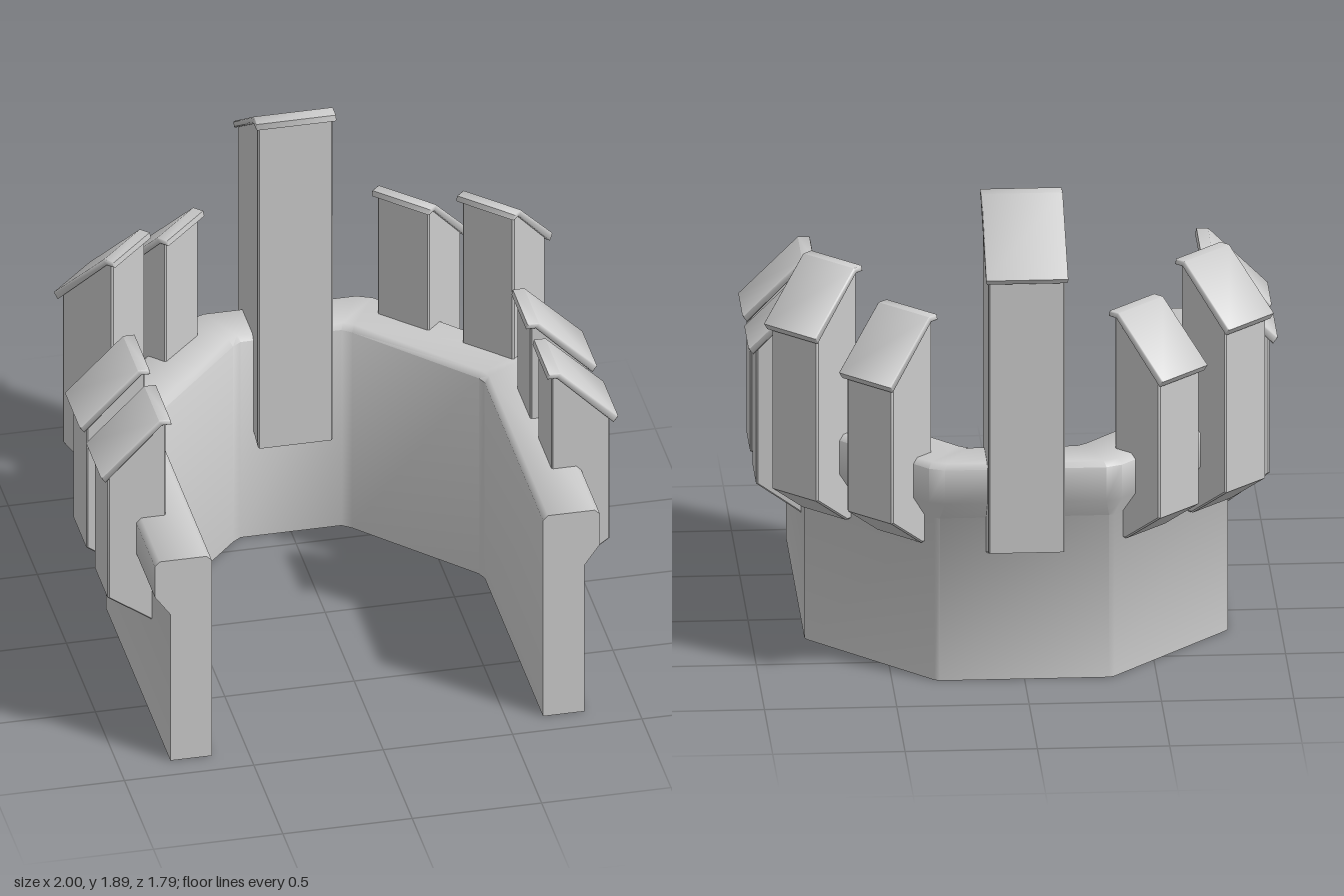
import * as THREE from 'three';
import { toCreasedNormals } from 'three/addons/utils/BufferGeometryUtils.js';

const material = new THREE.MeshStandardMaterial({ color: 0xcccccc });

function makeMesh(geometry, name, crease) {
  const mesh = new THREE.Mesh(toCreasedNormals(geometry, crease), material);
  mesh.name = name;
  return mesh;
}

// Extrude a side profile (outward, height) to a centred width with softened edges
function slab(points, width, bevel) {
  const shape = new THREE.Shape(points.map(([x, y]) => new THREE.Vector2(x, y)));
  const geometry = new THREE.ExtrudeGeometry(shape, {
    depth: width - 2 * bevel, bevelEnabled: true, bevelSize: bevel,
    bevelThickness: bevel, bevelOffset: -bevel, bevelSegments: 1,
  });
  return geometry.translate(0, 0, bevel - width / 2);
}

// Tower whose roof slopes down in its local +x (outward) direction
function tower(name, body, roof, bodyWidth, roofWidth) {
  const group = new THREE.Group();
  group.name = name;
  group.add(makeMesh(slab(body, bodyWidth, 0.006), 'towerBody', 0.6));
  group.add(makeMesh(slab(roof, roofWidth, 0.004), 'towerRoof', 0.9));
  return group;
}

function smallTower(base, top) {
  const body = [
    [-0.118, base], [-0.063, base], [0.107, base + 0.12],
    [0.107, top - 0.225], [-0.095, top - 0.015], [-0.118, top - 0.015],
  ];
  const roof = [
    [-0.137, top - 0.022], [-0.1, top - 0.022], [0.119, top - 0.247],
    [0.137, top - 0.222], [-0.088, top], [-0.132, top],
  ];
  return tower('smallTower', body, roof, 0.23, 0.26);
}

// Large tower at the back, straddling the wall
function tallTower() {
  const body = [
    [0.51, 0.435], [0.86, 0.555], [0.86, 1.665], [0.55, 1.868], [0.51, 1.868],
  ];
  const roof = [
    [0.495, 1.862], [0.545, 1.862], [0.88, 1.64],
    [0.895, 1.66], [0.555, 1.887], [0.498, 1.887],
  ];
  return tower('tallTower', body, roof, 0.29, 0.31);
}

// Angled U-shaped wall with an overhanging upper band
function wall() {
  // Each station: inner, lower outer and upper outer plan points (x, z)
  const half = [
    [[0.64, 0.9], [0.8, 0.9], [0.86, 0.9]],
    [[0.64, -0.105], [0.8, -0.21], [0.86, -0.235]],
    [[0.625, -0.14], [0.79, -0.232], [0.835, -0.28]],
    [[0.23, -0.562], [0.34, -0.71], [0.365, -0.775]],
    [[0.195, -0.588], [0.32, -0.72], [0.305, -0.8]],
  ];
  const mirrored = half.map((s) => s.map(([x, z]) => [-x, z])).reverse();
  const stations = [...half, ...mirrored];
  // Cross-section: outer plan point used, blend from inner to it, height
  const section = [
    [1, 0, 0], [1, 1, 0], [1, 1, 0.65], [2, 1, 0.735],
    [2, 1, 0.87], [2, 0.91, 0.89], [2, 0.09, 0.89], [2, 0, 0.87],
  ];
  const n = section.length;
  const positions = [];
  for (const s of stations) {
    for (const [column, k, y] of section) {
      const [a, b] = [s[0], s[column]];
      positions.push(a[0] + (b[0] - a[0]) * k, y, a[1] + (b[1] - a[1]) * k);
    }
  }
  const index = [];
  for (let s = 0; s < stations.length - 1; s++) {
    for (let i = 0; i < n; i++) {
      const j = (i + 1) % n;
      const [a, b, c, d] = [s * n + i, s * n + j, (s + 1) * n + j, (s + 1) * n + i];
      index.push(a, d, c, a, c, b);
    }
  }
  // Flat ends
  const outline = section.map((_, i) => new THREE.Vector2(positions[i * 3], positions[i * 3 + 1]));
  const last = (stations.length - 1) * n;
  for (const [a, b, c] of THREE.ShapeUtils.triangulateShape(outline, [])) {
    index.push(a, b, c, last + a, last + c, last + b);
  }
  const geometry = new THREE.BufferGeometry();
  geometry.setAttribute('position', new THREE.Float32BufferAttribute(positions, 3));
  geometry.setIndex(index);
  return makeMesh(geometry, 'wall', 0.85);
}

export function createModel() {
  const model = new THREE.Group();
  model.name = 'towerWall';
  model.add(wall());

  // Small towers on each side: x, z, facing angle, base, top
  const towers = [
    [0.863, 0.465, 0, 0.43, 1.32],
    [0.863, 0.1, 0, 0.43, 1.32],
    [0.777, -0.375, Math.PI / 4, 0.54, 1.545],
    [0.51, -0.645, Math.PI / 4, 0.54, 1.44],
  ];
  for (const [x, z, angle, base, top] of towers) {
    for (const side of [1, -1]) {
      const t = smallTower(base, top);
      t.position.set(side * x, 0, z);
      t.rotation.y = side > 0 ? angle : Math.PI - angle;
      model.add(t);
    }
  }

  const tall = tallTower();
  tall.rotation.y = Math.PI / 2;
  model.add(tall);
  return model;
}
